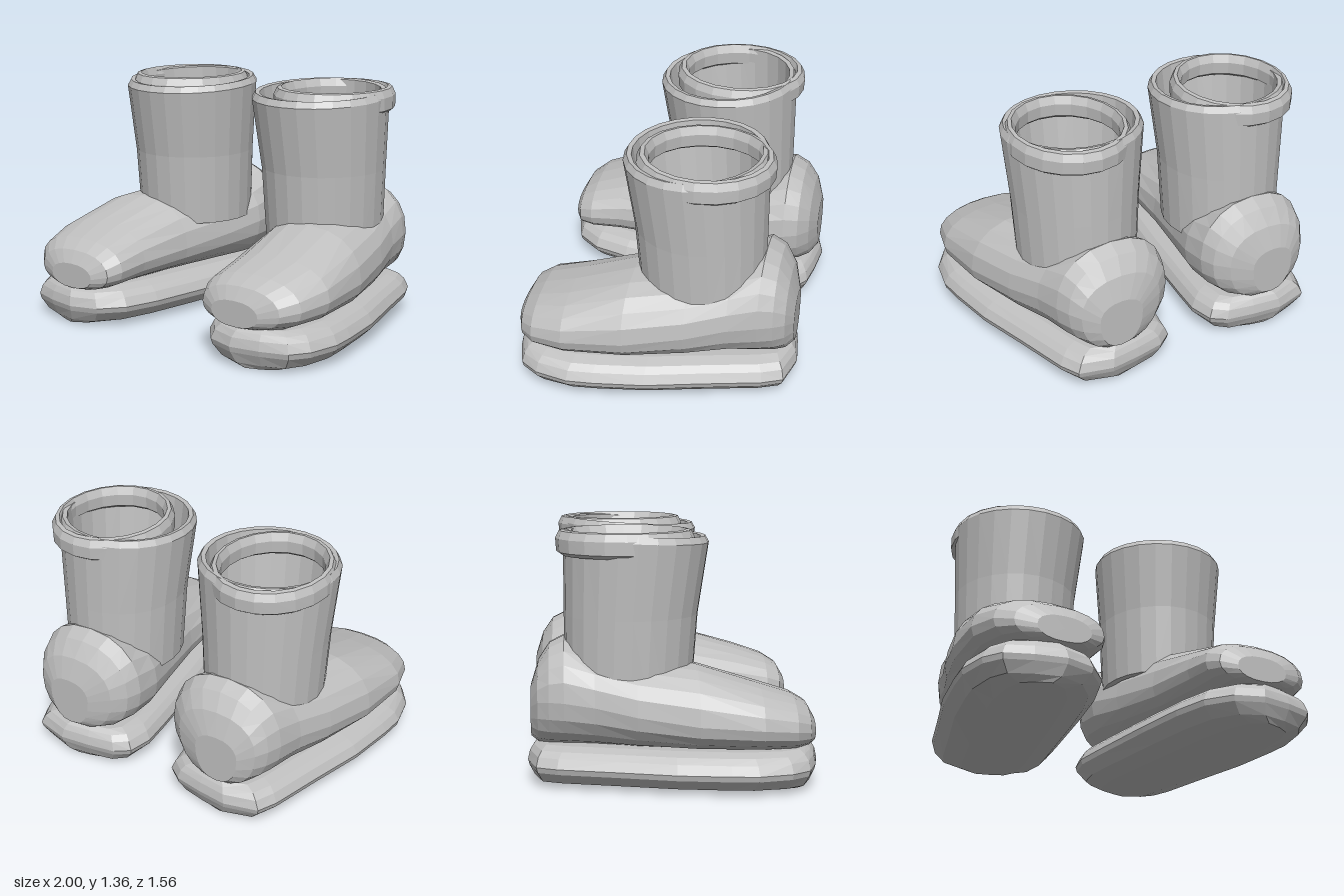
import * as THREE from 'three';

const grey = new THREE.MeshStandardMaterial({ color: 0xbfbfbf });
grey.name = 'plain grey';

// Faceted skin through equal-length rings of points; ends are capped, or joined when wrap is set.
function loft(rings, wrap = false) {
  const n = rings[0].length, tris = [];
  const quad = (A, B) => {
    for (let i = 0; i < n; i++) {
      const j = (i + 1) % n;
      tris.push([A[i], A[j], B[j]], [A[i], B[j], B[i]]);
    }
  };
  for (let k = 0; k + 1 < rings.length; k++) quad(rings[k], rings[k + 1]);
  const last = rings[rings.length - 1];
  if (wrap) quad(last, rings[0]);
  else {
    const mid = (r) => r.reduce((s, p) => s.add(p), new THREE.Vector3()).divideScalar(n);
    const a = mid(rings[0]), b = mid(last);
    for (let i = 0; i < n; i++) {
      const j = (i + 1) % n;
      tris.push([a, rings[0][j], rings[0][i]], [b, last[i], last[j]]);
    }
  }
  // Signed volume tells whether the faces point outwards
  const cross = new THREE.Vector3();
  const volume = tris.reduce((s, [p, q, r]) => s + p.dot(cross.crossVectors(q, r)), 0);
  if (volume < 0) tris.forEach((t) => t.reverse());
  const g = new THREE.BufferGeometry().setFromPoints(tris.flat());
  g.computeVertexNormals();
  return g;
}

// Horizontal oval ring, its height changing by tilt along z
function oval(y, cx, cz, rx, rz, tilt = 0, n = 24) {
  return Array.from({ length: n }, (_, i) => {
    const a = (i / n) * Math.PI * 2, z = Math.cos(a) * rz;
    return new THREE.Vector3(cx + Math.sin(a) * rx, y + z * tilt, cz + z);
  });
}

// Sole: one footprint repeated at several heights, narrowed about the slanting foot axis
function soleGeometry() {
  const outline = [
    [0.55, -0.78], [0.74, -0.73], [0.79, -0.62], [0.87, -0.3], [0.95, 0], [0.99, 0.28], [1, 0.42],
    [0.96, 0.6], [0.89, 0.7], [0.74, 0.75], [0.57, 0.78], [0.41, 0.73], [0.3, 0.6], [0.24, 0.4],
    [0.19, 0.1], [0.13, -0.35], [0.11, -0.53], [0.14, -0.67], [0.22, -0.73], [0.38, -0.76],
  ];
  const levels = [
    [0, 0.5, 0.92], [0.03, 0.82, 0.955], [0.09, 0.98, 0.99], [0.12, 1, 1],
    [0.17, 0.93, 0.985], [0.2, 0.84, 0.96], [0.22, 0.68, 0.93],
  ];
  return loft(levels.map(([y, sx, sz]) => outline.map(([x, z]) => {
    const c = 0.55 + 0.17 * z;
    return new THREE.Vector3(c + (x - c) * sx, y, z * sz);
  })));
}

// Foot: rounded cross-sections from toe to heel [z, centre x, half width, bottom, widest y, top]
function footGeometry() {
  const sections = [
    [0.75, 0.58, 0.15, 0.22, 0.29, 0.36], [0.71, 0.59, 0.25, 0.21, 0.31, 0.43],
    [0.63, 0.61, 0.31, 0.2, 0.33, 0.48], [0.45, 0.63, 0.34, 0.2, 0.35, 0.54],
    [0.12, 0.6, 0.35, 0.2, 0.37, 0.64], [-0.2, 0.53, 0.35, 0.2, 0.41, 0.67],
    [-0.42, 0.47, 0.345, 0.2, 0.45, 0.72], [-0.58, 0.455, 0.33, 0.2, 0.47, 0.78],
    [-0.66, 0.455, 0.3, 0.2, 0.47, 0.74], [-0.72, 0.47, 0.24, 0.21, 0.46, 0.65],
    [-0.76, 0.49, 0.13, 0.24, 0.42, 0.52],
  ];
  const bulge = (v, p) => Math.sign(v) * Math.abs(v) ** p;
  return loft(sections.map(([z, cx, hw, bottom, mid, top]) =>
    Array.from({ length: 20 }, (_, i) => {
      const a = (i / 20) * Math.PI * 2, s = bulge(Math.sin(a), 0.9);
      return new THREE.Vector3(cx + hw * bulge(Math.cos(a), 0.85), mid + s * (s > 0 ? top - mid : mid - bottom), z);
    })));
}

// Shaft: hollow leg flaring upwards, outer wall, bevelled rim and inner wall
function shaftGeometry() {
  return loft([
    oval(0.5, 0.47, -0.235, 0.325, 0.345), oval(0.9, 0.468, -0.22, 0.345, 0.36),
    oval(1.3, 0.46, -0.19, 0.38, 0.39, -0.05), oval(1.335, 0.46, -0.19, 0.36, 0.37, -0.05),
    oval(1.33, 0.46, -0.19, 0.335, 0.345, -0.05), oval(0.9, 0.468, -0.22, 0.305, 0.32),
    oval(0.5, 0.47, -0.235, 0.285, 0.305),
  ], true);
}

// Collar: padded band set back from the shaft so it shows round the heel side
function collarGeometry() {
  const band = [
    [1.22, 0.3, 0.335], [1.24, 0.325, 0.365], [1.31, 0.325, 0.37], [1.35, 0.305, 0.35],
    [1.355, 0.285, 0.325], [1.31, 0.265, 0.305], [1.24, 0.27, 0.31],
  ];
  return loft(band.map(([y, rx, rz]) => oval(y, 0.515, -0.25, rx, rz, 0, 20)), true);
}

export function createModel() {
  const model = new THREE.Group();
  model.name = 'pairOfBoots';
  const mirror = (g) => {
    const p = g.attributes.position;
    const pts = [];
    for (let i = 0; i < p.count; i += 3)
      for (const k of [0, 2, 1]) pts.push(new THREE.Vector3(-p.getX(i + k), p.getY(i + k), p.getZ(i + k)));
    const m = new THREE.BufferGeometry().setFromPoints(pts);
    m.computeVertexNormals();
    return m;
  };

  // Small strap lying across the inside of the shaft
  const strap = new THREE.CylinderGeometry(0.032, 0.032, 0.43, 8).rotateZ(Math.PI / 2)
    .rotateY(0.22).translate(0.49, 0.69, -0.26).toNonIndexed();
  strap.computeVertexNormals();

  const parts = {
    sole: soleGeometry(), foot: footGeometry(), shaft: shaftGeometry(),
    collar: collarGeometry(), innerStrap: strap,
  };
  for (const side of ['left', 'right']) {
    const boot = new THREE.Group();
    boot.name = side + 'Boot';
    for (const [name, g] of Object.entries(parts)) {
      const mesh = new THREE.Mesh(side === 'left' ? g : mirror(g), grey);
      mesh.name = name;
      boot.add(mesh);
    }
    model.add(boot);
  }
  return model;
}
